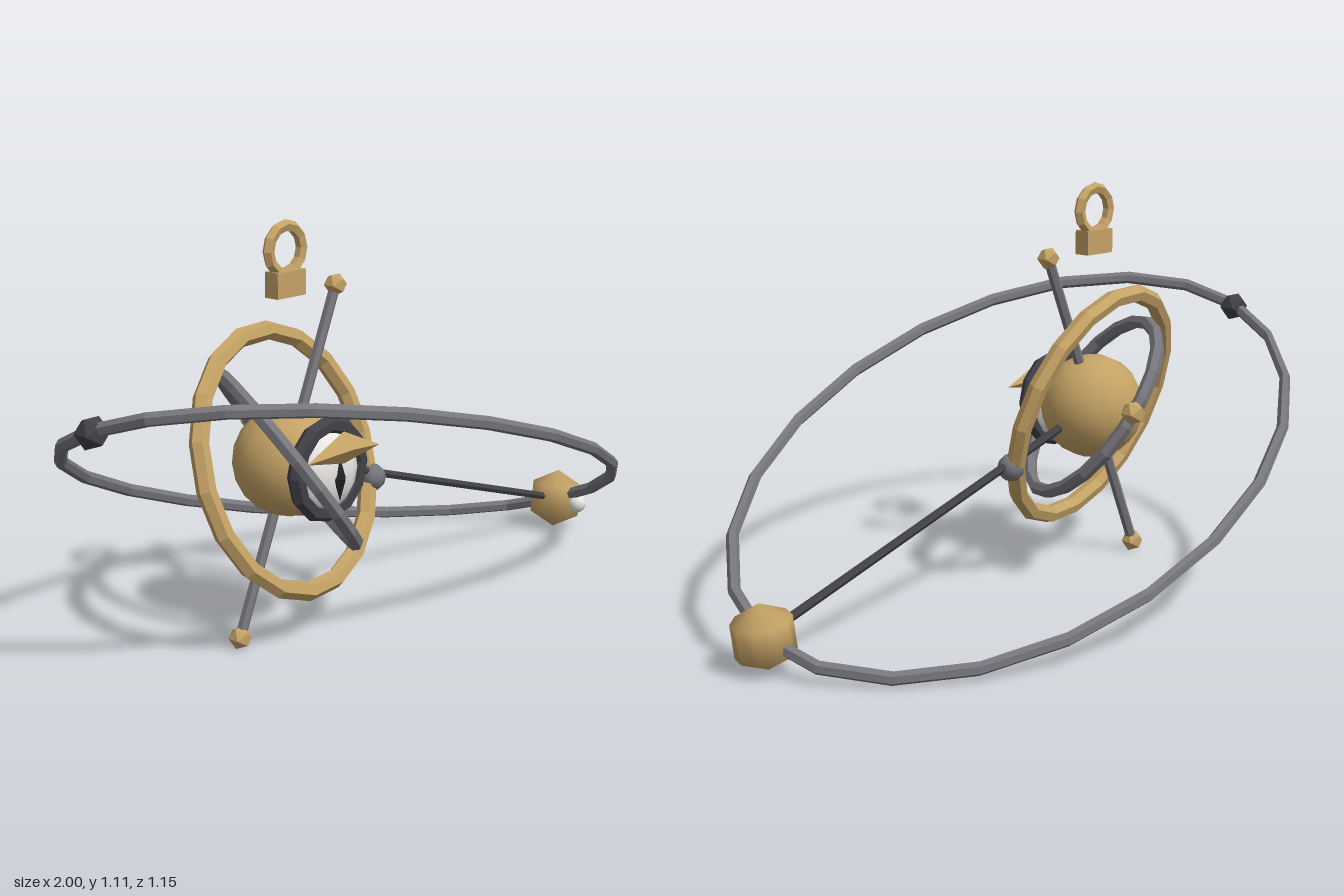
import * as THREE from 'three';

const V = (x, y, z) => new THREE.Vector3(x, y, z);

export function createModel() {
  const group = new THREE.Group();
  const mat = (name, color, flatShading = false) => {
    const m = new THREE.MeshStandardMaterial({ color, flatShading });
    m.name = name;
    return m;
  };
  const gold = mat('gold', 0xc4a265);
  const steel = mat('steel', 0x77767c);
  const dark = mat('dark iron', 0x414046);
  const white = mat('eye white', 0xe8e7e4);
  const black = mat('pupil black', 0x232226);

  const add = (name, geo, material, pos = V(0, 0, 0)) => {
    const mesh = new THREE.Mesh(geo, material);
    mesh.name = name;
    mesh.position.copy(pos);
    group.add(mesh);
    return mesh;
  };
  const flat = (geo) => {
    const g = geo.index ? geo.toNonIndexed() : geo;
    g.computeVertexNormals();
    return g;
  };

  // Faceted ring on an ellipse with half axes u and v
  const ring = (name, center, u, v, tube, segs, material, sides = 6) => {
    const geo = new THREE.TorusGeometry(1, tube, sides, segs);
    const un = u.clone().normalize();
    const vn = v.clone().normalize();
    const n = un.clone().cross(vn).normalize();
    const p = geo.attributes.position;
    for (let i = 0; i < p.count; i++) {
      const x = p.getX(i), y = p.getY(i), r = Math.hypot(x, y);
      const c = x / r, s = y / r, d = r - 1;
      const q = V(0, 0, 0)
        .addScaledVector(u, c).addScaledVector(v, s)
        .addScaledVector(un, c * d).addScaledVector(vn, s * d)
        .addScaledVector(n, p.getZ(i));
      p.setXYZ(i, q.x, q.y, q.z);
    }
    return add(name, flat(geo), material, center);
  };
  // Circular ring facing along n
  const circle = (name, center, n, radius, tube, segs, material, sides) => {
    n.normalize();
    const u = V(0, 1, 0).cross(n).normalize();
    const v = n.clone().cross(u);
    return ring(name, center, u.multiplyScalar(radius), v.multiplyScalar(radius), tube, segs, material, sides);
  };
  const rod = (name, a, b, r, material) => {
    const dir = b.clone().sub(a);
    const mesh = add(name, flat(new THREE.CylinderGeometry(r, r, dir.length(), 6)), material,
      a.clone().add(b).multiplyScalar(0.5));
    mesh.quaternion.setFromUnitVectors(V(0, 1, 0), dir.normalize());
    return mesh;
  };
  const bead = (name, pos, r, material) => add(name, flat(new THREE.IcosahedronGeometry(r, 0)), material, pos);

  const hub = V(-0.295, 0.48, 0);

  // Central globe on its tilted axis
  add('globe', new THREE.SphereGeometry(0.149, 14, 10), gold, hub).rotation.z = -0.4;
  const low = V(-0.482, 0.035, 0), high = V(-0.108, 0.925, 0);
  rod('axisRod', low, high, 0.015, steel);
  bead('axisTipLower', low, 0.032, gold);
  bead('axisTipUpper', high, 0.032, gold);

  // Rings around the globe
  circle('goldRing', hub, V(0.15, 0.33, 1), 0.35, 0.026, 18, gold);
  circle('innerRing', hub, V(0.7, 0.58, 0.41), 0.285, 0.02, 20, steel);
  bead('innerRingBead', V(-0.168, 0.52, -0.26), 0.035, gold);

  // Long orbit with its arm and weights
  ring('orbitRing', V(-0.02, 0.395, 0), V(0.94, -0.295, 0), V(0, 0.215, 0.562), 0.018, 22, steel);
  rod('orbitArm', hub, V(0.92, 0.1, 0), 0.012, dark);
  add('armBead', new THREE.SphereGeometry(0.039, 8, 6), steel, V(0.04, 0.36, 0));
  add('orbitBall', new THREE.SphereGeometry(0.09, 10, 3), gold, V(0.918, 0.1, 0)).rotation.z = -0.14;
  add('orbitBallMoon', new THREE.SphereGeometry(0.03, 10, 8), white, V(0.917, 0.1, 0.082));
  bead('orbitCounterweight', V(-0.957, 0.685, 0), 0.044, dark);

  // Eye on the front of the globe
  circle('eyeRim', V(-0.295, 0.483, 0.143), V(0, 0, 1), 0.119, 0.024, 12, dark);
  const eye = add('eyeball', new THREE.SphereGeometry(0.11, 12, 8), white, V(-0.295, 0.475, 0.13));
  eye.scale.z = 0.55;
  const pupil = add('pupil', flat(new THREE.OctahedronGeometry(1)), black, V(-0.295, 0.465, 0.185));
  pupil.scale.set(0.022, 0.06, 0.02);

  // Eyelid: a stretched wedge with drooping ends
  const lid = new THREE.OctahedronGeometry(1);
  const lp = lid.attributes.position;
  for (let i = 0; i < lp.count; i++) lp.setY(i, lp.getY(i) - 0.45 * Math.abs(lp.getX(i)));
  const lidMesh = add('eyelid', flat(lid), gold, V(-0.285, 0.547, 0.19));
  lidMesh.scale.set(0.138, 0.043, 0.034);

  // Hanger above
  add('hangerBlock', new THREE.BoxGeometry(0.104, 0.068, 0.046), gold, V(-0.298, 0.954, 0));
  circle('hangerLoop', V(-0.298, 1.042, 0), V(0, 0, 1), 0.062, 0.016, 12, gold, 5);

  return group;
}
